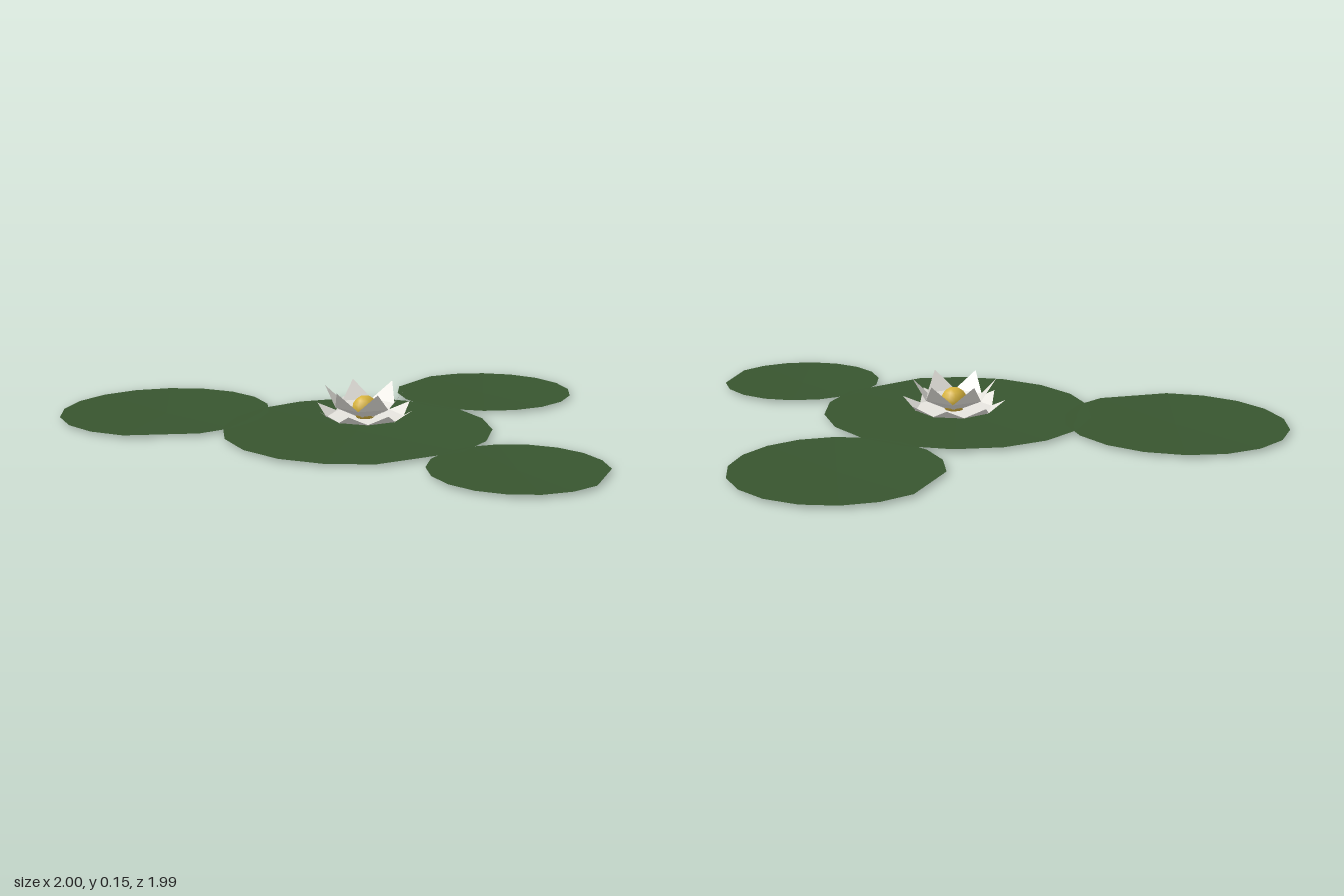
import * as THREE from 'three';

const D = THREE.DoubleSide;
const mat = (name, color, flatShading = true) => {
  const m = new THREE.MeshStandardMaterial({ color, flatShading, side: D });
  m.name = name;
  return m;
};

// Triangle fan around the first point
function fan(points, closed) {
  const pos = [];
  const n = points.length;
  for (let i = 1; i < (closed ? n : n - 1); i++) {
    const next = i + 1 < n ? i + 1 : 1;
    pos.push(...points[0], ...points[next], ...points[i]);
  }
  const g = new THREE.BufferGeometry();
  g.setAttribute('position', new THREE.Float32BufferAttribute(pos, 3));
  g.computeVertexNormals();
  return g;
}

// Shallow dished leaf: 18-gon rim with one rim point left out
function padGeometry(radius, cutDeg) {
  const pts = [[0, 0, 0]];
  for (let i = 1; i < 18; i++) {
    const a = THREE.MathUtils.degToRad(cutDeg + i * 20);
    pts.push([radius * Math.cos(a), 0.0095, radius * Math.sin(a)]);
  }
  return fan(pts, true);
}

// Pointed petal, folded upward at its shoulders; runs along +z
function petalGeometry(base, shoulder, tip) {
  const [bz, by, bw] = base, [sz, sy, sw] = shoulder, [tz, ty] = tip;
  return fan([[0, sy, sz], [sw, sy, sz], [0, ty, tz], [-sw, sy, sz], [-bw, by, bz], [bw, by, bz]], true);
}

export function createModel() {
  const model = new THREE.Group();
  model.name = 'waterLily';
  const green = mat('leafGreen', 0x38552f);
  const white = mat('petalWhite', 0xe6e4de);
  const gold = mat('centreGold', 0xd6b23c, false);

  // Floating leaves: name, x, z, radius, angle of the missing rim point
  const pads = [
    ['mainPad', -0.08, -0.02, 0.488, 89],
    ['backRightPad', -0.606, -0.605, 0.395, 111],
    ['backLeftPad', 0.65, -0.345, 0.35, 241],
    ['frontPad', 0.153, 0.69, 0.302, 49],
  ];
  for (const [name, x, z, r, cut] of pads) {
    const pad = new THREE.Mesh(padGeometry(r, cut), green);
    pad.name = name;
    pad.position.set(x, 0, z);
    model.add(pad);
  }

  // Flower
  const flower = new THREE.Group();
  flower.name = 'flower';
  flower.position.set(-0.022, 0, -0.073);
  const ring = (name, count, startDeg, geometry) => {
    for (let i = 0; i < count; i++) {
      const petal = new THREE.Mesh(geometry, white);
      petal.name = name;
      petal.rotation.y = THREE.MathUtils.degToRad(startDeg + (i * 360) / count);
      flower.add(petal);
    }
  };
  ring('outerPetal', 8, 0, petalGeometry([0, 0.032, 0.015], [0.13, 0.037, 0.057], [0.186, 0.075]));
  ring('innerPetal', 6, -9, petalGeometry([0.025, 0.038, 0.02], [0.098, 0.078, 0.057], [0.15, 0.147]));

  const centre = new THREE.Mesh(new THREE.SphereGeometry(0.047, 12, 8), gold);
  centre.name = 'flowerCentre';
  centre.position.y = 0.068;
  flower.add(centre);
  model.add(flower);

  return model;
}
